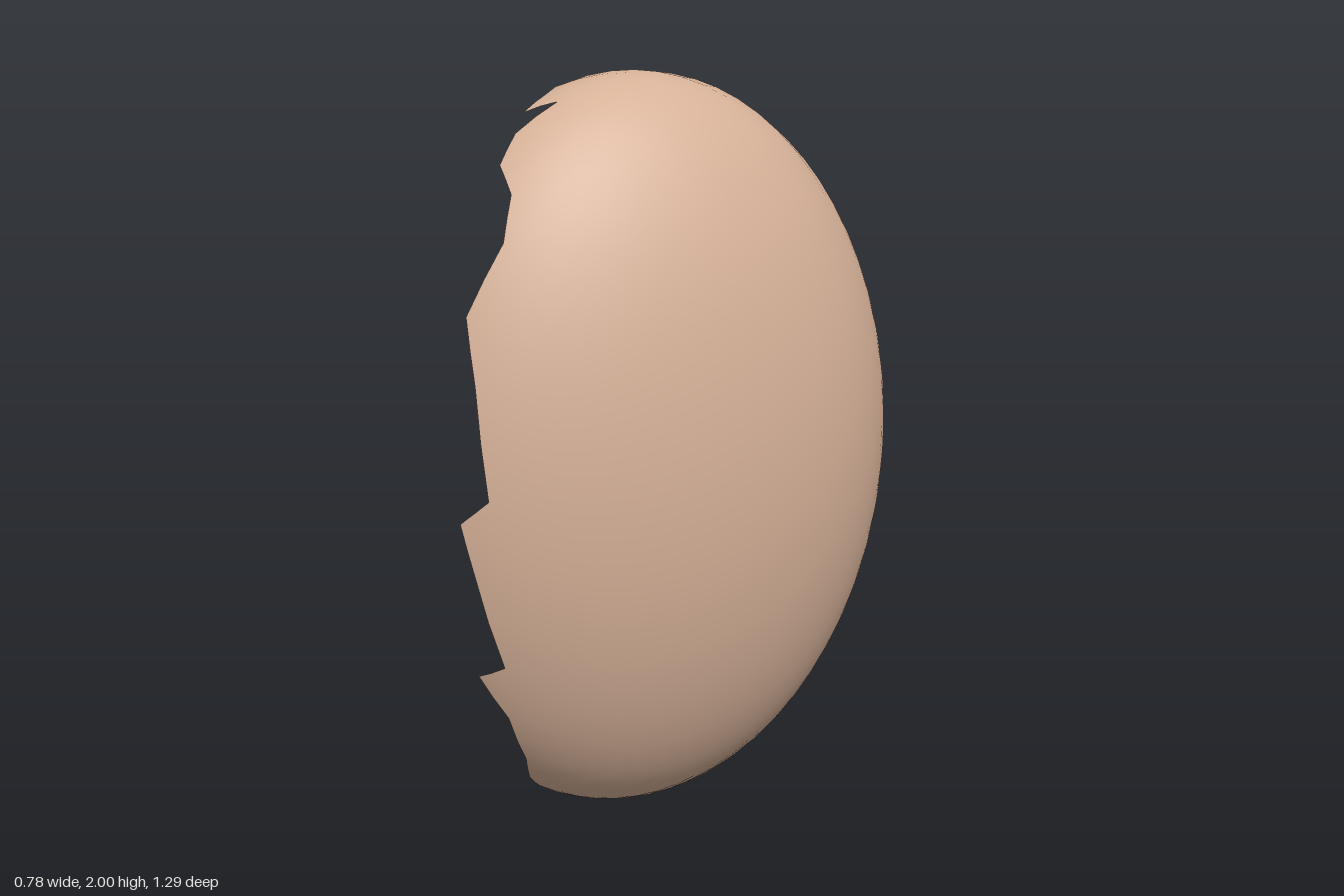
import * as THREE from 'three';

// Broken rim: [angle around the x axis in degrees (0 top, 90 front), x of the rim]
const RIM = [
  [0, -0.35], [10, -0.35], [17, -0.38], [18, -0.3], [25, -0.37], [33, -0.38], [41, -0.33],
  [50, -0.325], [61, -0.39], [72, -0.355], [89, -0.32], [92.5, -0.39], [100, -0.365],
  [116.5, -0.32], [119.5, -0.39], [128, -0.34], [140, -0.335], [150, -0.36], [157, -0.36],
  [164, -0.3], [171, -0.38], [180, -0.36], [188, -0.39], [192, -0.345], [197, -0.38],
  [203, -0.34], [215, -0.345], [230, -0.34], [243, -0.325], [253, -0.38], [268, -0.345],
  [284, -0.33], [286.5, -0.38], [298, -0.3], [300, -0.31], [308, -0.37], [313, -0.335],
  [319, -0.355], [332, -0.37], [343, -0.34],
];
const CENTER_X = -0.2, HALF_X = 0.588, RINGS = 20, SPLIT = 2;

// Open unit sphere whose pole is +x and whose last ring follows the rim
function shellGeometry() {
  const columns = [];
  RIM.forEach(([a, x], i) => {
    const last = i === RIM.length - 1;
    const [a2, x2] = last ? [360, RIM[0][1]] : RIM[i + 1];
    for (let k = 0; k < SPLIT; k++) {
      const f = k / SPLIT;
      columns.push([THREE.MathUtils.degToRad(a + (a2 - a) * f), x + (x2 - x) * f]);
    }
  });

  const n = columns.length, points = [1, 0, 0], index = [];
  for (let r = 1; r <= RINGS; r++) {
    for (const [t, x] of columns) {
      const phi = Math.acos((x - CENTER_X) / HALF_X) * r / RINGS;
      points.push(Math.cos(phi), Math.sin(phi) * Math.cos(t), Math.sin(phi) * Math.sin(t));
    }
  }
  for (let j = 0; j < n; j++) {
    const k = (j + 1) % n;
    index.push(0, 1 + j, 1 + k);
    for (let r = 0; r < RINGS - 1; r++) {
      const a = 1 + r * n + j, b = 1 + r * n + k;
      index.push(a, a + n, b + n, a, b + n, b);
    }
  }

  const geometry = new THREE.BufferGeometry();
  geometry.setAttribute('position', new THREE.Float32BufferAttribute(points, 3));
  geometry.setAttribute('normal', new THREE.Float32BufferAttribute(points, 3));
  geometry.setIndex(index);
  // Stretch and shear the sphere into a slanted ellipsoid standing on y = 0
  geometry.applyMatrix4(new THREE.Matrix4().set(
    HALF_X, 0, 0, CENTER_X,
    0, 1, 0, 1,
    -0.31, 0, 0.57, 0,
    0, 0, 0, 1,
  ));
  return geometry;
}

export function createModel() {
  const model = new THREE.Group();
  model.name = 'brokenEggshell';

  const shellTan = new THREE.MeshStandardMaterial({ color: 0xd6b198, side: THREE.DoubleSide });
  shellTan.name = 'shellTan';

  const shell = new THREE.Mesh(shellGeometry(), shellTan);
  shell.name = 'shell';
  model.add(shell);
  return model;
}
